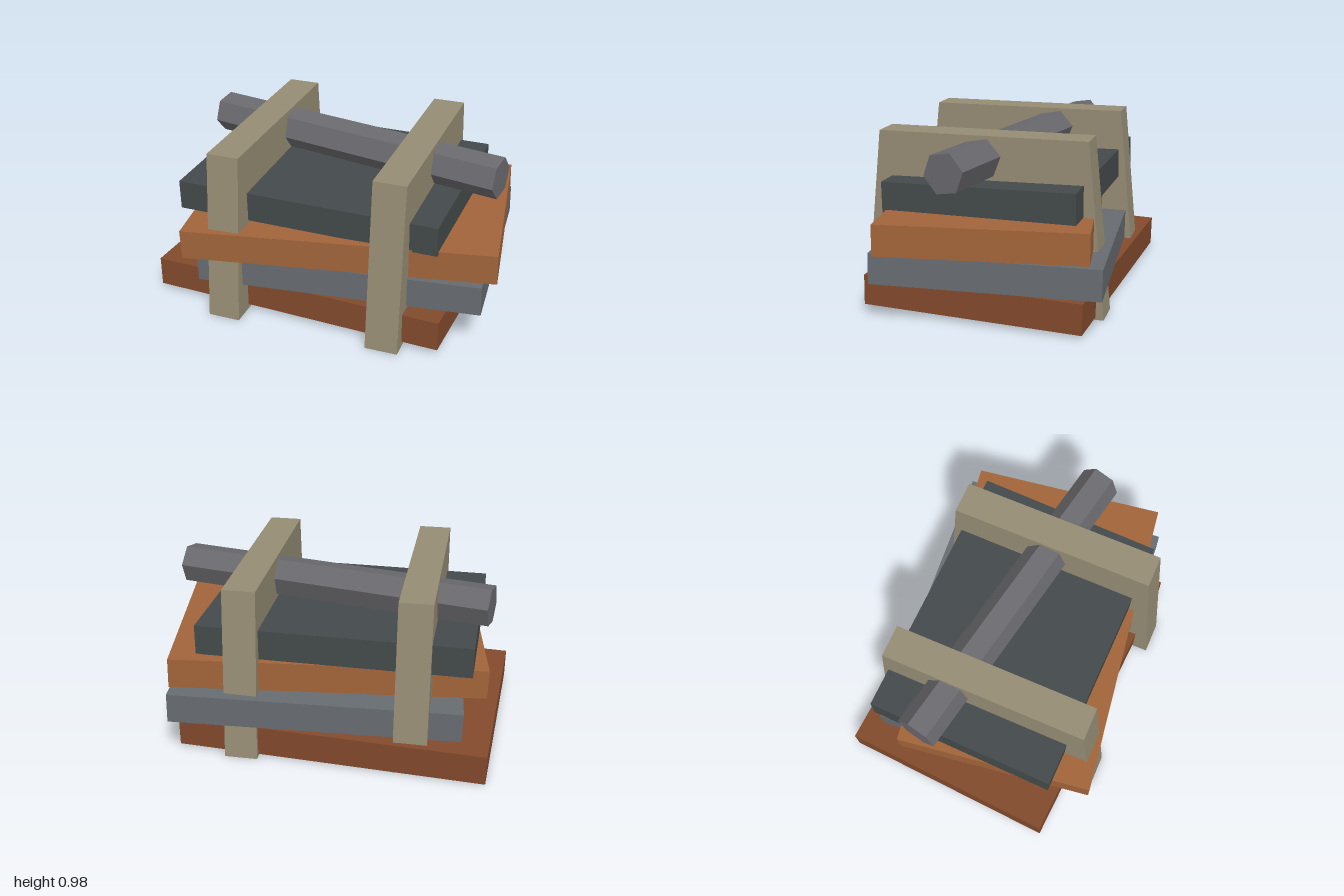
import * as THREE from 'three';

const paint = (name, color) => {
  const m = new THREE.MeshStandardMaterial({ color });
  m.name = name;
  return m;
};

export function createModel() {
  const model = new THREE.Group();
  model.name = 'strappedPlateStack';

  const rust = paint('rust', 0x824a2c);
  const copper = paint('copper', 0xa1643a);
  const slate = paint('slate', 0x676c70);
  const charcoal = paint('charcoal', 0x444a4b);
  const steel = paint('steel', 0x69696e);
  const strapTan = paint('strapTan', 0x958c74);

  const add = (name, geometry, material, x, y, z) => {
    const mesh = new THREE.Mesh(geometry, material);
    mesh.name = name;
    mesh.position.set(x, y, z);
    model.add(mesh);
    return mesh;
  };

  // Stacked plates, each turned and slightly tilted:
  // name, material, centre, size, yaw, rise toward +x, rise toward +z
  const plates = [
    ['bottomPlate', rust, [-0.098, 0.105, -0.045], [1.733, 0.172, 1.242], -0.058, 0.007, 0.014],
    ['secondPlate', slate, [0.072, 0.29, -0.04], [1.62, 0.17, 1.234], 0.081, 0.0265, 0.008],
    ['thirdPlate', copper, [0.045, 0.467, 0.028], [1.754, 0.17, 1.122], 0.146, 0.0285, 0.004],
    ['topPlate', charcoal, [-0.07, 0.647, -0.025], [1.52, 0.17, 1.075], -0.0165, 0, -0.014],
  ];
  for (const [name, material, centre, size, yaw, riseX, riseZ] of plates) {
    const plate = add(name, new THREE.BoxGeometry(...size), material, ...centre);
    plate.rotation.set(-riseZ, yaw, riseX, 'YXZ');
  }

  // Six-sided rod lying across the top
  const rodGeometry = new THREE.CylinderGeometry(0.117, 0.117, 1.83, 6, 1, false, Math.PI / 18)
    .rotateZ(-Math.PI / 2)
    .toNonIndexed();
  rodGeometry.computeVertexNormals();
  add('rod', rodGeometry, steel, 0.006, 0.848, -0.08).rotation.y = -0.187;

  // Two solid tapered straps holding the stack
  const profile = new THREE.Shape([
    new THREE.Vector2(-0.675, 0),
    new THREE.Vector2(0.695, 0),
    new THREE.Vector2(0.592, 0.975),
    new THREE.Vector2(-0.575, 0.975),
  ]);
  const width = 0.185;
  const strapGeometry = new THREE.ExtrudeGeometry(profile, { depth: width, bevelEnabled: false })
    .translate(0, 0, -width / 2)
    .rotateY(-Math.PI / 2);
  add('rightStrap', strapGeometry, strapTan, -0.509, 0, 0);
  add('leftStrap', strapGeometry, strapTan, 0.434, 0, 0);

  return model;
}
